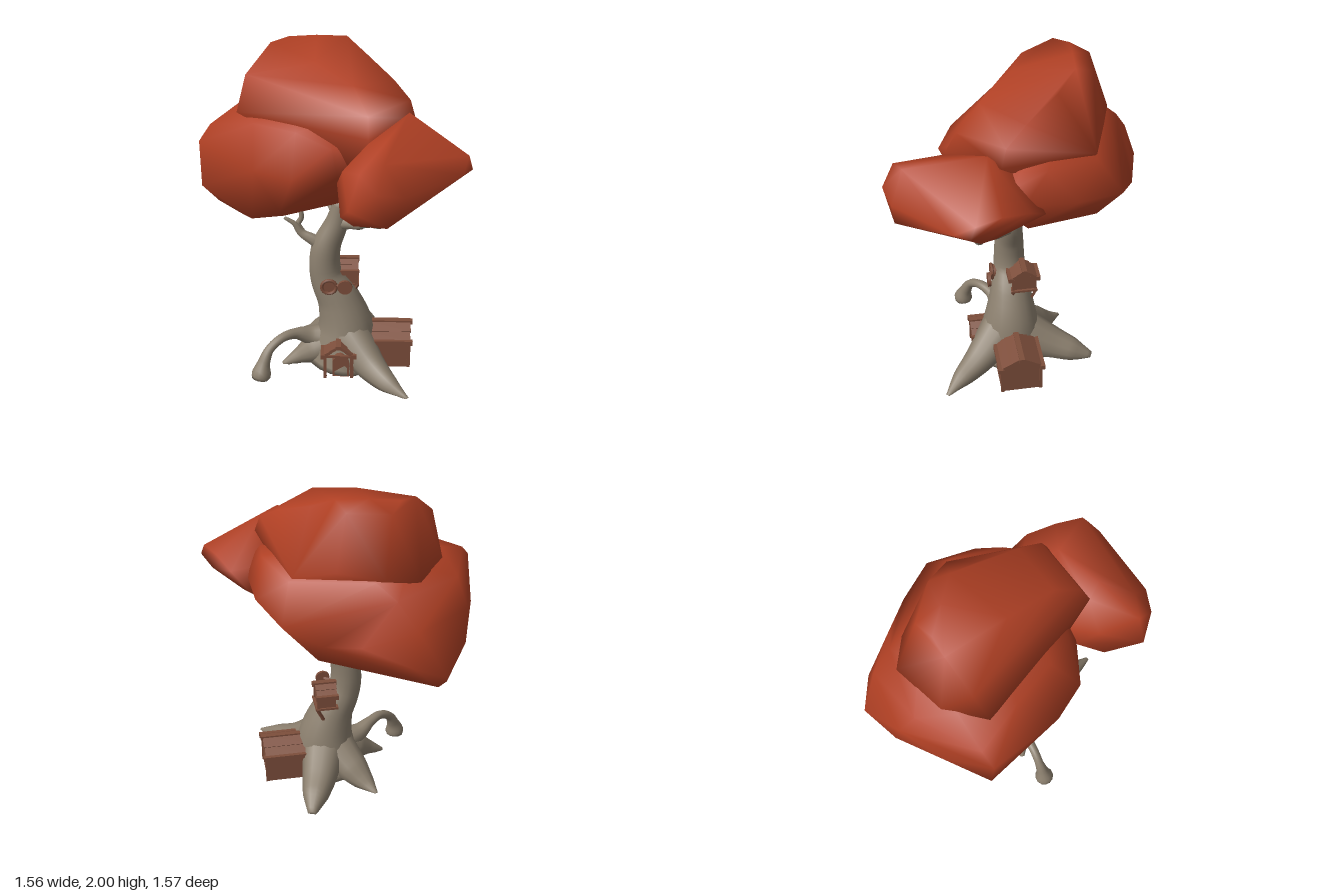
import * as THREE from 'three';
import { mergeVertices } from 'three/addons/utils/BufferGeometryUtils.js';
import { ConvexGeometry } from 'three/addons/geometries/ConvexGeometry.js';

const V = (p) => new THREE.Vector3(...p);
const leaf = new THREE.MeshStandardMaterial({ color: 0xb04024 });
const bark = new THREE.MeshStandardMaterial({ color: 0x8b7f6e });
const wood = new THREE.MeshStandardMaterial({ color: 0x7d4e3b });

function add(parent, name, geometry, material, pos = [0, 0, 0], rot = [0, 0, 0]) {
  const mesh = new THREE.Mesh(geometry, material);
  mesh.name = name;
  mesh.position.set(...pos);
  mesh.rotation.set(...rot);
  parent.add(mesh);
  return mesh;
}

// Smooth hull through a handful of points
function blob(points) {
  const g = new ConvexGeometry(points.map(V));
  g.deleteAttribute('normal');
  const merged = mergeVertices(g, 1e-4);
  merged.computeVertexNormals();
  return merged;
}

// Tapered limb along stations [x, y, z, radius], flattened on the ground
function limb(stations, sides = 12, steps = 20) {
  const curve = new THREE.CatmullRomCurve3(stations.map((s) => new THREE.Vector3(s[0], s[1], s[2])));
  const frames = curve.computeFrenetFrames(steps);
  const pos = [], idx = [];
  const push = (p) => pos.push(p.x, Math.max(p.y, 0.005), p.z);
  for (let i = 0; i <= steps; i++) {
    const c = curve.getPointAt(i / steps);
    const t = curve.getUtoTmapping(i / steps) * (stations.length - 1);
    const k = Math.min(Math.floor(t), stations.length - 2);
    const r = THREE.MathUtils.lerp(stations[k][3], stations[k + 1][3], t - k);
    for (let j = 0; j < sides; j++) {
      const a = (j / sides) * Math.PI * 2;
      push(c.clone().addScaledVector(frames.normals[i], r * Math.cos(a))
        .addScaledVector(frames.binormals[i], r * Math.sin(a)));
    }
  }
  push(curve.getPointAt(0));
  push(curve.getPointAt(1));
  const start = (steps + 1) * sides, last = steps * sides;
  for (let j = 0; j < sides; j++) {
    const n = (j + 1) % sides;
    for (let i = 0; i < steps; i++) {
      const a = i * sides + j, b = i * sides + n;
      idx.push(a, b, a + sides, b, b + sides, a + sides);
    }
    idx.push(start, n, j, start + 1, last + j, last + n);
  }
  const g = new THREE.BufferGeometry();
  g.setAttribute('position', new THREE.Float32BufferAttribute(pos, 3));
  g.setIndex(idx);
  g.computeVertexNormals();
  return g;
}

// Square beam between two points
function beam(parent, name, a, b, size) {
  const p = V(a), d = V(b).sub(p);
  const mesh = add(parent, name, new THREE.BoxGeometry(size, d.length(), size), wood);
  mesh.position.copy(p).addScaledVector(d, 0.5);
  mesh.quaternion.setFromUnitVectors(new THREE.Vector3(0, 1, 0), d.normalize());
}

// Pitched roof with its ridge along z
function roof(parent, w, eave, rise, depth, t) {
  const slope = Math.atan2(rise, w / 2), len = Math.hypot(rise, w / 2);
  for (const s of [-1, 1]) {
    add(parent, 'upperRoofBoard', new THREE.BoxGeometry(len * 0.55, t, depth), wood,
      [s * w * 0.13, eave + rise * 0.74 + t * 0.3, 0], [0, 0, -s * slope]);
    add(parent, 'lowerRoofBoard', new THREE.BoxGeometry(len * 0.55, t, depth * 0.97), wood,
      [s * w * 0.37, eave + rise * 0.26, 0], [0, 0, -s * slope]);
    add(parent, 'eaveBeam', new THREE.BoxGeometry(t * 1.6, t * 1.6, depth * 1.06), wood, [s * w / 2, eave, 0]);
  }
  add(parent, 'ridgeBeam', new THREE.BoxGeometry(t * 1.8, t * 1.5, depth * 1.08), wood, [0, eave + rise + t * 0.2, 0]);
}

// Pentagonal house body with its gables facing z
function walls(parent, w, h, rise, depth) {
  const s = new THREE.Shape([[-w / 2, 0], [w / 2, 0], [w / 2, h], [0, h + rise], [-w / 2, h]]
    .map((p) => new THREE.Vector2(...p)));
  const g = new THREE.ExtrudeGeometry(s, { depth, bevelEnabled: false });
  add(parent, 'walls', g, wood, [0, 0, -depth / 2]);
}

function group(parent, name, pos, turn = 0) {
  const g = new THREE.Group();
  g.name = name;
  g.position.set(...pos);
  g.rotation.y = turn;
  parent.add(g);
  return g;
}

export function createModel() {
  const tree = new THREE.Group();
  tree.name = 'treeHouse';

  // Foliage masses
  add(tree, 'backFoliage', blob([
    [-0.55, 1.62, -0.2], [-0.22, 1.66, -0.02], [-0.3, 1.65, -0.45], [0.1, 1.66, -0.4], [0.3, 1.66, -0.15], [0, 1.63, 0.16],
    [-0.1, 1.61, -0.56], [-0.2, 1.53, -0.64], [-0.3, 1.38, -0.73], [-0.58, 1.55, -0.44], [0.35, 1.58, -0.4],
    [0.46, 1.6, -0.1], [0.45, 1.6, 0.05], [0.49, 1.53, 0.09], [-0.72, 1.54, -0.05], [-0.45, 1.6, 0.1], [-0.2, 1.6, 0.25],
    [0, 1.53, 0.33], [-0.62, 1.4, -0.53], [-0.45, 1.12, -0.79], [-0.26, 1.2, -0.79], [0, 1.3, -0.7], [0.2, 1.3, -0.65],
    [0.41, 1.38, -0.54], [0.52, 1.42, -0.27], [0.54, 1.44, 0.04], [0.35, 1.4, 0.25], [0.03, 1.38, 0.38], [-0.22, 1.38, 0.43],
    [-0.44, 1.4, 0.33], [-0.78, 1.46, 0.02], [-0.78, 1.17, 0], [-0.72, 1.3, -0.28], [-0.61, 1.2, -0.57],
    [-0.58, 0.915, -0.17], [-0.6, 0.96, -0.36], [-0.7, 1.02, -0.12], [-0.3, 0.95, -0.05], [-0.5, 0.99, -0.62],
    [-0.42, 1.03, -0.73], [0, 1.02, -0.4], [0.1, 1.12, 0.1], [0.3, 1.15, -0.1], [0.44, 1.22, 0],
    [0.2, 1.1, -0.45], [-0.3, 1.12, 0.27], [-0.48, 1, 0.1],
  ]), leaf);
  add(tree, 'topFoliage', blob([
    [-0.56, 1.62, -0.03], [-0.51, 1.82, -0.12], [-0.53, 1.6, -0.3], [-0.37, 1.97, -0.28], [-0.34, 1.6, -0.57],
    [-0.15, 1.62, -0.57], [-0.27, 1.985, -0.36], [-0.2, 1.95, -0.46], [-0.1, 2, -0.34], [0.08, 2, -0.32], [0.04, 1.96, -0.43],
    [0.1, 1.65, -0.49], [0.33, 1.6, -0.4], [0.2, 1.92, -0.2], [0.35, 1.83, 0], [0.44, 1.75, 0.12], [0.47, 1.65, 0.15],
    [0.2, 1.62, 0.42], [0.2, 1.73, 0.36], [-0.22, 1.6, 0.16], [0.12, 1.86, 0.22], [-0.1, 1.93, 0],
    [0.2, 1.4, 0.4], [0, 1.4, 0.24], [-0.3, 1.45, -0.3], [0.3, 1.4, -0.2],
  ]), leaf);
  add(tree, 'frontFoliage', blob([
    [0.03, 1.35, 0.38], [0.06, 1.47, 0.5], [0.05, 1.22, 0.55], [0.09, 1.35, 0.76], [0.12, 1.24, 0.7],
    [0.15, 1.54, 0.71], [0.24, 1.45, 0.78], [0.39, 1.42, 0.74], [0.3, 1.24, 0.73], [0.28, 1.58, 0.67],
    [0.3, 1.635, 0.46], [0.2, 1.6, 0.42], [0.43, 1.71, 0.22], [0.46, 1.4, 0.65], [0.55, 1.42, 0.54],
    [0.72, 1.43, 0.44], [0.78, 1.43, 0.36], [0.76, 1.5, 0.33], [0.7, 1.5, 0.18], [0.63, 1.46, 0.02],
    [0.54, 1.38, -0.08], [0.55, 1.25, 0.2], [0.12, 1.15, 0.4], [0.2, 1.14, 0.12], [0.35, 1.18, 0.05],
    [0.1, 1.4, 0.2], [0.4, 1.5, 0], [0.55, 1.62, 0.22], [0.25, 1.17, 0.5], [0.72, 1.36, 0.3],
  ]), leaf);

  // Trunk
  add(tree, 'trunk', limb([[0.07, 0.01, 0.05, 0.23], [0.08, 0.12, 0.05, 0.205], [0.08, 0.26, 0.045, 0.172],
    [0.04, 0.42, 0.04, 0.135], [-0.04, 0.6, 0.035, 0.1], [-0.04, 0.78, 0.035, 0.09],
    [0.025, 0.95, 0.035, 0.07], [0.055, 1.1, 0.045, 0.046]], 18, 36), bark);

  // Spreading roots and the arched root
  const roots = [
    [[0.1, 0.2, 0.1, 0.14], [0.24, 0.08, 0.27, 0.095], [0.35, 0.03, 0.4, 0.06], [0.455, 0, 0.5, 0.012]],
    [[0.1, 0.18, 0, 0.14], [0.16, 0.085, -0.19, 0.11], [0.21, 0.04, -0.33, 0.08], [0.25, 0.005, -0.45, 0.025]],
    [[0.03, 0.18, 0, 0.13], [-0.07, 0.07, -0.14, 0.1], [-0.13, 0.02, -0.23, 0.06], [-0.18, 0, -0.32, 0.012]],
    [[0, 0.14, 0.06, 0.12], [-0.12, 0.09, 0.09, 0.095], [-0.21, 0.05, 0.11, 0.05], [-0.31, 0, 0.13, 0.015]],
  ];
  for (const r of roots) add(tree, 'root', limb(r), bark);
  add(tree, 'archedRoot', limb([[0, 0.16, 0.06, 0.1], [-0.14, 0.19, 0.09, 0.06], [-0.23, 0.23, 0.14, 0.034],
    [-0.31, 0.233, 0.2, 0.028], [-0.385, 0.18, 0.25, 0.028], [-0.42, 0.1, 0.28, 0.04],
    [-0.435, 0.035, 0.295, 0.063], [-0.44, 0.005, 0.3, 0.055]], 12, 34), bark);

  // Branches
  const branches = [
    [[-0.05, 0.78, 0.035, 0.05], [-0.12, 0.83, 0.03, 0.038], [-0.19, 0.87, 0.02, 0.026], [-0.23, 0.93, 0.02, 0.017], [-0.29, 0.97, 0.02, 0.01]],
    [[-0.17, 0.85, 0.02, 0.024], [-0.21, 0.92, 0, 0.018], [-0.19, 0.96, 0, 0.016], [-0.19, 1.02, 0, 0.012]],
    [[0.04, 0.95, 0.04, 0.045], [0.11, 0.97, 0.1, 0.034], [0.17, 0.99, 0.16, 0.026], [0.2, 1.05, 0.19, 0.019], [0.2, 1.15, 0.19, 0.018]],
    [[0.15, 0.98, 0.14, 0.024], [0.22, 1.02, 0.21, 0.021], [0.285, 1.04, 0.265, 0.02], [0.29, 1.09, 0.27, 0.017], [0.285, 1.16, 0.27, 0.016]],
    [[0.02, 0.95, 0.03, 0.03], [0, 0.99, -0.03, 0.018], [-0.03, 1.03, -0.06, 0.008]],
  ];
  for (const b of branches) add(tree, 'branch', limb(b, 8, 14), bark);

  // Large house beside the trunk
  const house = group(tree, 'sideHouse', [0.34, 0.01, 0.04], Math.PI / 2);
  walls(house, 0.25, 0.18, 0.065, 0.28);
  roof(house, 0.26, 0.18, 0.07, 0.3, 0.018);
  for (const s of [-1, 1]) {
    add(house, 'cornerPost', new THREE.BoxGeometry(0.02, 0.18, 0.02), wood, [s * 0.119, 0.09, 0.137]);
  }

  // Front porch with an arched door
  const porch = group(tree, 'porch', [0.04, 0.01, 0.25]);
  roof(porch, 0.19, 0.155, 0.06, 0.11, 0.018);
  for (const s of [-1, 1]) {
    beam(porch, 'porchPost', [s * 0.082, 0, 0.04], [s * 0.082, 0.155, 0.04], 0.02);
  }
  beam(porch, 'porchCrossbeam', [-0.09, 0.15, 0.04], [0.09, 0.15, 0.04], 0.014);
  const arch = (w, h) => new THREE.Shape().moveTo(-w, 0).lineTo(w, 0).lineTo(w, h).absarc(0, h, w, 0, Math.PI, false).lineTo(-w, 0);
  const frame = arch(0.052, 0.095);
  frame.holes.push(arch(0.038, 0.095));
  add(porch, 'doorFrame', new THREE.ExtrudeGeometry(frame, { depth: 0.07, bevelEnabled: false }), wood, [0.015, 0, -0.04]);
  add(porch, 'door', new THREE.ExtrudeGeometry(arch(0.04, 0.095), { depth: 0.055, bevelEnabled: false }), wood, [0.015, 0, -0.04]);

  // Small hanging house on struts
  const hut = group(tree, 'hangingHut', [0.095, 0.53, -0.03], Math.PI / 2);
  walls(hut, 0.14, 0.09, 0.045, 0.11);
  roof(hut, 0.17, 0.09, 0.05, 0.13, 0.018);
  add(hut, 'floor', new THREE.BoxGeometry(0.16, 0.014, 0.14), wood);
  for (const s of [-1, 1]) {
    beam(hut, 'strut', [s * 0.075, 0, 0.06], [s * 0.055, -0.09, 0.02], 0.016);
    add(hut, 'hutPost', new THREE.BoxGeometry(0.016, 0.09, 0.016), wood, [s * 0.068, 0.045, 0.053]);
  }

  // Round window with an open shutter
  const lookout = group(tree, 'roundWindow', [-0.02, 0.567, 0.135]);
  add(lookout, 'pane', new THREE.CylinderGeometry(0.045, 0.045, 0.05, 16), wood, [0, 0, -0.01], [Math.PI / 2, 0, 0]);
  add(lookout, 'ring', new THREE.TorusGeometry(0.045, 0.011, 6, 16), wood, [0, 0, 0.015]);
  add(lookout, 'shutter', new THREE.CylinderGeometry(0.045, 0.045, 0.018, 16), wood, [0.097, 0.015, 0.045], [Math.PI / 2, 0, 0]);
  beam(lookout, 'hinge', [0.04, 0.01, 0.015], [0.09, 0.015, 0.04], 0.014);

  return tree;
}
